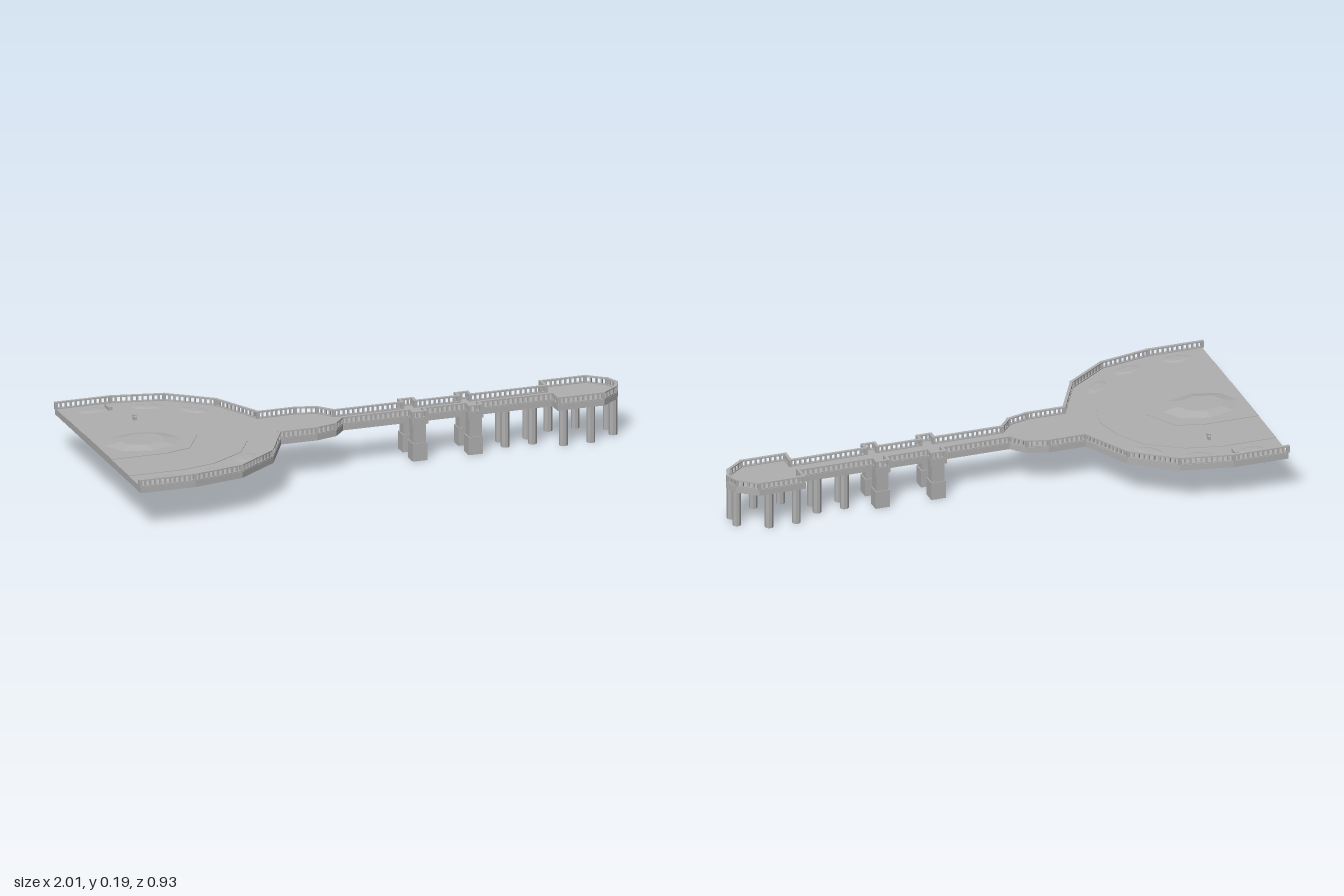
import * as THREE from 'three';
import { mergeGeometries } from 'three/addons/utils/BufferGeometryUtils.js';

const stone = new THREE.MeshStandardMaterial({ color: 0xb0b0b0 });
stone.name = 'grey stone';

const DECK_BOTTOM = 0.14, DECK_TOP = 0.163, RAIL_TOP = 0.19;

// Half outlines (z > 0), from the straight shore edge out to the tip
const deckHalf = [
  [-1, 0.466], [-0.79, 0.466], [-0.595, 0.426], [-0.435, 0.308], [-0.34, 0.124], [-0.2, 0.124],
  [-0.12, 0.102], [-0.075, 0.05], [0.178, 0.05], [0.178, 0.082], [0.242, 0.082], [0.242, 0.05],
  [0.395, 0.05], [0.395, 0.082], [0.453, 0.082], [0.453, 0.05], [0.73, 0.05], [0.73, 0.105],
  [0.91, 0.105], [0.98, 0.05], [1, 0],
];
const outerTerrace = [[-1, 0.335], [-0.79, 0.335], [-0.66, 0.305], [-0.53, 0.222], [-0.465, 0.11], [-0.44, 0]];
const innerTerrace = [[-1, 0.147], [-0.79, 0.147], [-0.69, 0.12], [-0.62, 0]];

const mirrored = (half) => [
  ...half, ...half.filter(([, z]) => z > 0).reverse().map(([x, z]) => [x, -z]),
];

function addMesh(group, name, geometry) {
  const mesh = new THREE.Mesh(geometry, stone);
  mesh.name = name;
  group.add(mesh);
  return mesh;
}

// Flat plate from an x/z outline
function plate(points, bottom, top) {
  const shape = new THREE.Shape(points.map(([x, z]) => new THREE.Vector2(x, z)));
  return new THREE.ExtrudeGeometry(shape, { depth: top - bottom, bevelEnabled: false })
    .rotateX(Math.PI / 2).translate(0, top, 0);
}

// Open path moved sideways towards the deck's middle, with mitred corners
function inset(points, distance) {
  const v = points.map(([x, z]) => new THREE.Vector2(x, z));
  const normal = (a, b) => new THREE.Vector2(b.y - a.y, a.x - b.x).normalize();
  return v.map((p, i) => {
    const n1 = normal(v[Math.max(i - 1, 0)], v[Math.max(i, 1)]);
    const n2 = i < v.length - 1 ? normal(p, v[i + 1]) : n1;
    const m = n1.clone().add(n2).normalize();
    return p.clone().addScaledVector(m, distance / Math.max(m.dot(n1), 0.4));
  });
}

const box = (w, h, d, x, y, z) => new THREE.BoxGeometry(w, h, d).translate(x, y, z);

// Balustrade: bottom kerb, balusters, handrail and corner posts along the path
function balustrade(group) {
  const path = inset(mirrored(deckHalf), 0.007);
  const bars = [], balusters = [], posts = [];
  path.forEach((p, i) => {
    const post = box(0.012, RAIL_TOP - DECK_TOP, 0.012, 0, 0, 0);
    posts.push(post.translate(p.x, (RAIL_TOP + DECK_TOP) / 2, p.y));
    if (i === path.length - 1) return;
    const q = path[i + 1], length = p.distanceTo(q);
    const angle = -Math.atan2(q.y - p.y, q.x - p.x);
    const place = (g, t) => g.rotateY(angle).translate(p.x + (q.x - p.x) * t, 0, p.y + (q.y - p.y) * t);
    bars.push(place(box(length, 0.005, 0.011, 0, RAIL_TOP - 0.0025, 0), 0.5));
    bars.push(place(box(length, 0.004, 0.011, 0, DECK_TOP + 0.002, 0), 0.5));
    const count = Math.max(1, Math.round(length / 0.019));
    for (let k = 1; k < count; k++) {
      balusters.push(place(box(0.007, 0.018, 0.007, 0, 0.176, 0), k / count));
    }
  });
  addMesh(group, 'handrailAndKerb', mergeGeometries(bars));
  addMesh(group, 'balusters', mergeGeometries(balusters));
  addMesh(group, 'railPosts', mergeGeometries(posts));
}

// Low faceted planting mound
function mound(group, name, x, z, rx, rz, height, base, angle = 0) {
  const g = new THREE.CylinderGeometry(0.6, 1, height, 8).toNonIndexed();
  g.computeVertexNormals();
  g.scale(rx, 1, rz).rotateY(angle).translate(x, base + height / 2, z);
  addMesh(group, name, g);
}

export function createModel() {
  const model = new THREE.Group();
  model.name = 'pier';

  // Deck and the terraces of the plaza
  addMesh(model, 'deck', plate(mirrored(deckHalf), DECK_BOTTOM, DECK_TOP));
  addMesh(model, 'outerTerrace', plate(mirrored(outerTerrace), DECK_TOP - 0.003, DECK_TOP + 0.002));
  addMesh(model, 'innerTerrace', plate(mirrored(innerTerrace), DECK_TOP - 0.003, DECK_TOP + 0.004));

  const railing = new THREE.Group();
  railing.name = 'balustrade';
  balustrade(railing);
  model.add(railing);

  // Centre mound and low beds around the outer walk
  mound(model, 'centreMound', -0.83, 0, 0.145, 0.105, 0.01, DECK_TOP + 0.004);
  for (const s of [1, -1]) {
    mound(model, 'flowerBed', -0.88, s * 0.4, 0.06, 0.03, 0.003, DECK_TOP);
    mound(model, 'flowerBed', -0.68, s * 0.375, 0.06, 0.03, 0.003, DECK_TOP, s * 0.25);
    mound(model, 'flowerBed', -0.53, s * 0.28, 0.06, 0.03, 0.003, DECK_TOP, s * 0.75);
  }

  // Small bench and bollards on the plaza
  addMesh(model, 'bench', box(0.016, 0.012, 0.04, -0.818, DECK_TOP + 0.006, -0.4));
  addMesh(model, 'bollard', box(0.01, 0.014, 0.014, -0.765, DECK_TOP + 0.008, -0.268));
  addMesh(model, 'bollard', box(0.012, 0.014, 0.012, -0.772, DECK_TOP + 0.008, -0.245));

  // Supports, mirrored to both sides
  for (const s of [1, -1]) {
    for (const x of [0.21, 0.425]) {
      addMesh(model, 'pierBase', box(0.056, 0.068, 0.05, x, 0.034, s * 0.055));
      addMesh(model, 'pierShaft', box(0.048, 0.074, 0.044, x, 0.104, s * 0.055));
    }
    for (const [x, z] of [[0.555, 0.03], [0.66, 0.03], [0.76, 0.085], [0.865, 0.085], [0.97, 0.03]]) {
      const g = new THREE.CylinderGeometry(0.016, 0.016, DECK_BOTTOM, 8).toNonIndexed();
      g.computeVertexNormals();
      addMesh(model, 'pile', g.rotateY(Math.PI / 8)).position.set(x, DECK_BOTTOM / 2, s * z);
    }
  }
  return model;
}
